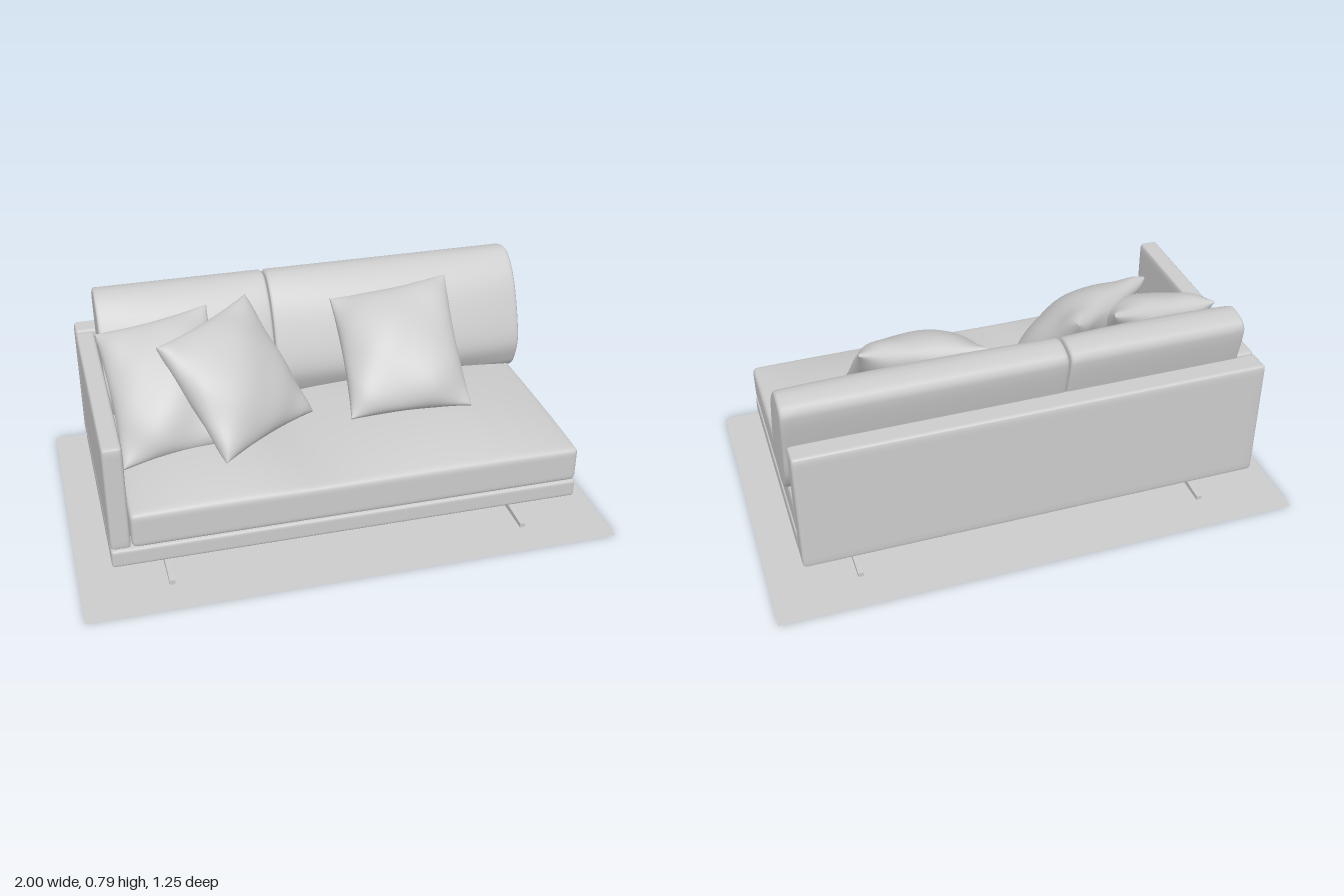
import * as THREE from 'three';
import { mergeVertices } from 'three/addons/utils/BufferGeometryUtils.js';

const grey = new THREE.MeshStandardMaterial({ color: 0xcccccc, side: THREE.DoubleSide });

function part(group, name, geometry) {
  const mesh = new THREE.Mesh(geometry, grey);
  mesh.name = name;
  group.add(mesh);
  return mesh;
}

// Moves every vertex by a rule, then welds the surface and smooths it
function warp(geometry, rule) {
  const pos = geometry.attributes.position;
  const p = new THREE.Vector3();
  for (let i = 0; i < pos.count; i++) {
    rule(p.fromBufferAttribute(pos, i));
    pos.setXYZ(i, p.x, p.y, p.z);
  }
  geometry.deleteAttribute('uv');
  geometry.deleteAttribute('normal');
  const smooth = mergeVertices(geometry, 1e-5);
  smooth.computeVertexNormals();
  return smooth;
}

// Box between two corners with rounded edges; segments crowd towards the edges
function softBox([x0, y0, z0], [x1, y1, z1], radius, after = () => {}) {
  const half = new THREE.Vector3(x1 - x0, y1 - y0, z1 - z0).multiplyScalar(0.5);
  const centre = new THREE.Vector3(x0 + x1, y0 + y1, z0 + z1).multiplyScalar(0.5);
  const core = half.clone().subScalar(radius);
  const low = core.clone().negate();
  const inner = new THREE.Vector3();
  const spread = (s) => Math.sin(s * Math.PI / 2);
  return warp(new THREE.BoxGeometry(2, 2, 2, 40, 16, 32), (p) => {
    p.set(spread(p.x), spread(p.y), spread(p.z)).multiply(half);
    inner.copy(p).clamp(low, core);
    p.sub(inner).setLength(radius).add(inner).add(centre);
    after(p);
  });
}

// Back cushion: side outline (z, y) swept along x, fuller in the middle
function backCushion(x0, x1) {
  const outline = new THREE.CatmullRomCurve3([
    [-0.28, 0.325], [-0.37, 0.43], [-0.41, 0.58], [-0.443, 0.735], [-0.44, 0.765],
    [-0.38, 0.788], [-0.335, 0.785], [-0.26, 0.72], [-0.195, 0.6], [-0.15, 0.45],
    [-0.165, 0.38], [-0.195, 0.327],
  ].map(([z, y]) => new THREE.Vector3(0, y, z)), true, 'centripetal');
  const ring = outline.getSpacedPoints(56).slice(0, -1);
  const n = ring.length;
  const cy = 0.56, cz = -0.29;
  // Each section: position across the width, size of the outline
  const sections = [[0, 0.001], [0, 0.5], [0, 0.93], [0.003, 0.97], [0.009, 0.993]];
  for (let i = 0; i <= 20; i++) sections.push([0.02 + 0.96 * i / 20, 1]);
  for (let i = 4; i >= 0; i--) sections.push([1 - sections[i][0], sections[i][1]]);

  const positions = [], index = [];
  sections.forEach(([t, s], i) => {
    const belly = 4 * t * (1 - t);
    ring.forEach((p, j) => {
      const front = Math.max(0, p.z - (cz - 0.33 * (p.y - cy)));
      positions.push(x0 + (x1 - x0) * t, cy + (p.y - cy) * s,
        cz + (p.z - cz) * s + front * 0.25 * belly);
      if (i === sections.length - 1) return;
      const a = i * n + j, b = i * n + (j + 1) % n;
      index.push(a, b, a + n, b, b + n, a + n);
    });
  });
  const geometry = new THREE.BufferGeometry();
  geometry.setAttribute('position', new THREE.Float32BufferAttribute(positions, 3));
  geometry.setIndex(index);
  geometry.computeVertexNormals();
  return geometry;
}

// Throw pillow stretched between four corners, pinched at the rim and lightly creased
function pillow(corners, thickness, phase) {
  const [tl, tr, br, bl] = corners.map((c) => new THREE.Vector3(...c));
  const normal = tr.clone().sub(bl).cross(tl.clone().sub(br)).normalize();
  const top = new THREE.Vector3(), bottom = new THREE.Vector3();
  return warp(new THREE.BoxGeometry(2, 2, 2, 32, 32, 1), (p) => {
    const u = Math.sin(p.x * Math.PI / 2), v = Math.sin(p.y * Math.PI / 2);
    const side = Math.sign(p.z);
    const pu = u * (1 - 0.05 * (1 - v * v)), pv = v * (1 - 0.05 * (1 - u * u));
    const swell = Math.pow(Math.max(0, (1 - u * u) * (1 - v * v)), 0.5);
    const crease = 1 + 0.12 * Math.sin(7 * u * v + phase) * (u * u + v * v)
      + 0.05 * Math.sin(4 * u - 3 * v + phase);
    top.lerpVectors(tl, tr, (pu + 1) / 2);
    bottom.lerpVectors(bl, br, (pu + 1) / 2);
    p.lerpVectors(bottom, top, (pv + 1) / 2);
    p.addScaledVector(normal, side * (0.004 + thickness / 2 * swell * crease));
  });
}

// Flat L-shaped leg with a long tapering foot
function legGeometry() {
  const shape = new THREE.Shape([
    [0.06, 0.008], [0.49, 0.008], [0.49, 0.025], [0.11, 0.04], [0.11, 0.12], [0.06, 0.12],
  ].map(([z, y]) => new THREE.Vector2(z, y)));
  return new THREE.ExtrudeGeometry(shape, { depth: 0.02, bevelEnabled: false })
    .translate(0, 0, -0.01).rotateY(-Math.PI / 2);
}

export function createModel() {
  const sofa = new THREE.Group();
  sofa.name = 'sofa';

  // Floor sheet
  part(sofa, 'floor', new THREE.PlaneGeometry(2, 1.246).rotateX(-Math.PI / 2));

  // Frame
  part(sofa, 'base', softBox([-0.88, 0.115, -0.4], [0.875, 0.186, 0.49], 0.012));
  part(sofa, 'backPanel', softBox([-0.88, 0.117, -0.497], [0.875, 0.605, -0.402], 0.016));
  part(sofa, 'armrest', softBox([-0.88, 0.19, -0.4], [-0.808, 0.603, 0.49], 0.014));

  // Seat with two domed halves meeting at a shallow seam
  const left = -0.805, seam = -0.13, right = 0.872;
  part(sofa, 'seat', softBox([left, 0.189, -0.398], [right, 0.327, 0.494], 0.02, (p) => {
    const [a, b] = p.x < seam ? [left, seam] : [seam, right];
    const s = 2 * (p.x - a) / (b - a) - 1;
    const t = (p.z - 0.048) / 0.446;
    const lift = Math.max(0, (p.y - 0.189) / 0.138);
    p.y += lift * lift * 0.062 * (1 - Math.pow(Math.abs(t), 2.5)) * (1 - 0.85 * s * s);
  }));

  // Back cushions
  part(sofa, 'backCushionRight', backCushion(-0.802, -0.132));
  part(sofa, 'backCushionLeft', backCushion(-0.128, 0.888));

  // Throw pillows: corners run top left, top right, bottom right, bottom left
  const pillows = [
    [[-0.82, 0.7, -0.17], [-0.39, 0.75, -0.215], [-0.38, 0.375, 0.19], [-0.79, 0.345, 0.225]],
    [[-0.62, 0.725, 0.04], [-0.235, 0.76, -0.245], [-0.045, 0.385, 0.065], [-0.43, 0.38, 0.33]],
    [[0.1, 0.71, -0.22], [0.565, 0.77, -0.2], [0.55, 0.4, 0.2], [0.08, 0.395, 0.175]],
  ];
  pillows.forEach((corners, i) => part(sofa, `pillow${i + 1}`, pillow(corners, 0.21, i * 2)));

  // Legs: a front and a back foot near each end
  const leg = legGeometry();
  for (const x of [-0.675, 0.672]) {
    part(sofa, 'frontLeg', leg).position.set(x, 0, 0.005);
    const back = part(sofa, 'backLeg', leg);
    back.position.set(x, 0, 0.005);
    back.rotation.y = Math.PI;
  }
  return sofa;
}
